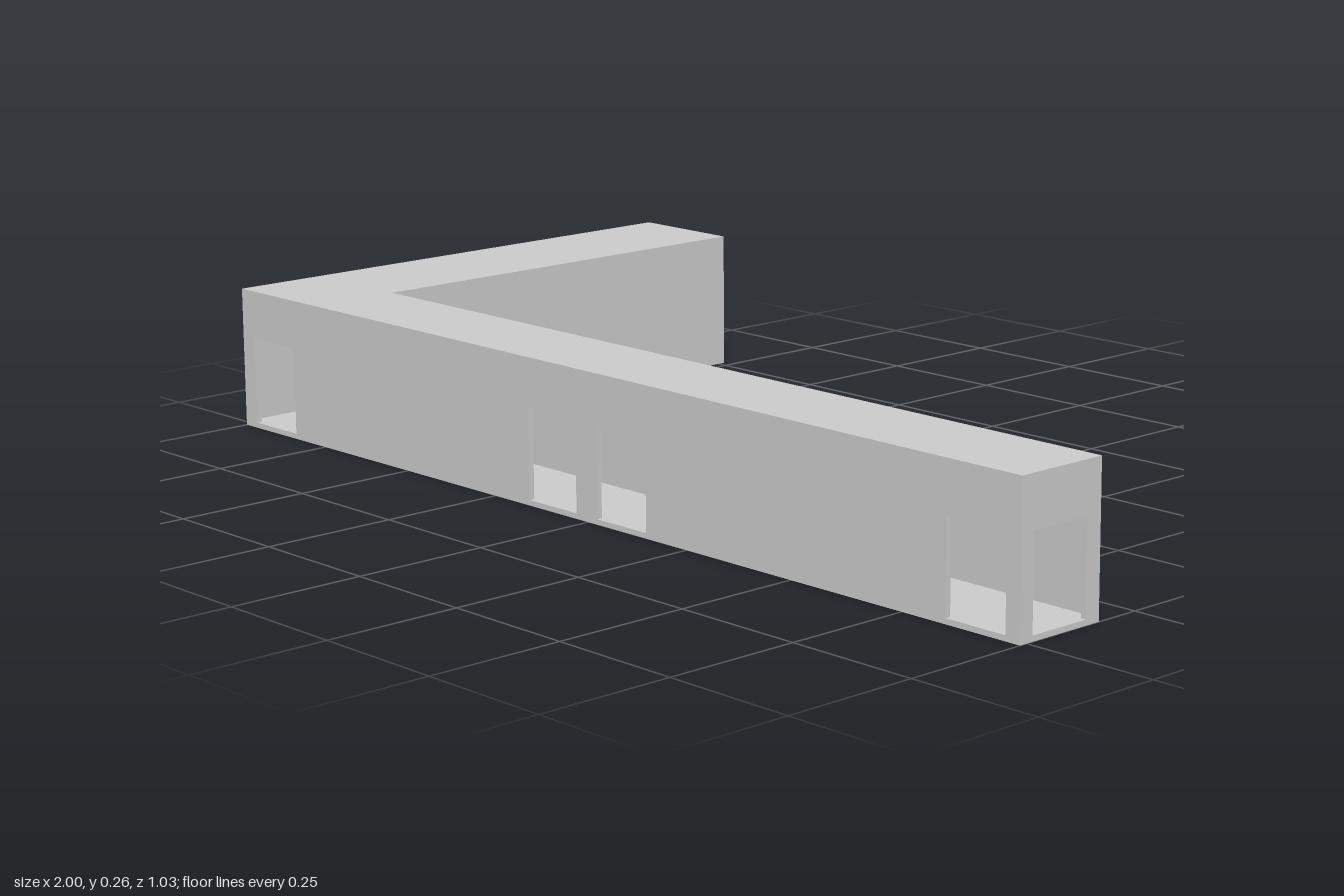
import * as THREE from 'three';

const H = 0.265;        // building height
const T = 0.01;         // wall and floor thickness
const ROOF = 0.02;      // roof thickness
const DOOR_TOP = 0.175;

const material = new THREE.MeshStandardMaterial({ color: 0xcccccc, flatShading: true });

const outline = (Type, points) => new Type(points.map(([x, y]) => new THREE.Vector2(x, y)));
const rect = (x0, y0, x1, y1) => [[x0, y0], [x1, y0], [x1, y1], [x0, y1]];

function slab(name, points, holes, depth) {
  const shape = outline(THREE.Shape, points);
  shape.holes = holes.map((h) => outline(THREE.Path, h));
  const mesh = new THREE.Mesh(
    new THREE.ExtrudeGeometry(shape, { depth, bevelEnabled: false }), material);
  mesh.name = name;
  return mesh;
}

// Upright wall from a to b with door openings, each [start, end] along the wall
function wall(name, a, b, doors = []) {
  return slab(name, rect(a, 0, b, H), doors.map(([s, e]) => rect(s, T, e, DOOR_TOP)), T);
}

export function createModel() {
  const group = new THREE.Group();
  group.name = 'lShapedBuilding';

  // Walls running along x, placed by their rear face
  const alongX = (z, mesh) => {
    mesh.position.z = z;
    group.add(mesh);
  };
  alongX(0.505, wall('frontWall', -1, 1,
    [[-0.965, -0.84], [-0.155, -0.03], [0.025, 0.15], [0.845, 0.97]]));
  alongX(0.335, wall('backWall', -0.78, 0.99, [[0.2, 0.325]]));
  alongX(-0.515, wall('wingEndWall', -0.99, -0.77));

  // Walls running along z, placed by their +x face
  const alongZ = (x, mesh) => {
    mesh.rotation.y = -Math.PI / 2;
    mesh.position.x = x;
    group.add(mesh);
  };
  alongZ(1, wall('endWall', 0.335, 0.505, [[0.365, 0.487]]));
  alongZ(-0.77, wall('wingInnerWall', -0.505, 0.335));
  alongZ(-0.99, wall('wingOuterWall', -0.515, 0.505));

  // Floor with a stair opening, and the roof, both fitted between the walls
  const plan = [[-0.99, -0.505], [-0.78, -0.505], [-0.78, 0.345],
    [0.99, 0.345], [0.99, 0.505], [-0.99, 0.505]];
  const flat = (top, mesh) => {
    mesh.rotation.x = Math.PI / 2;
    mesh.position.y = top;
    group.add(mesh);
  };
  flat(T, slab('floor', plan, [rect(-0.88, 0.05, -0.795, 0.32)], T));
  flat(H, slab('roof', plan, [], ROOF));

  return group;
}
